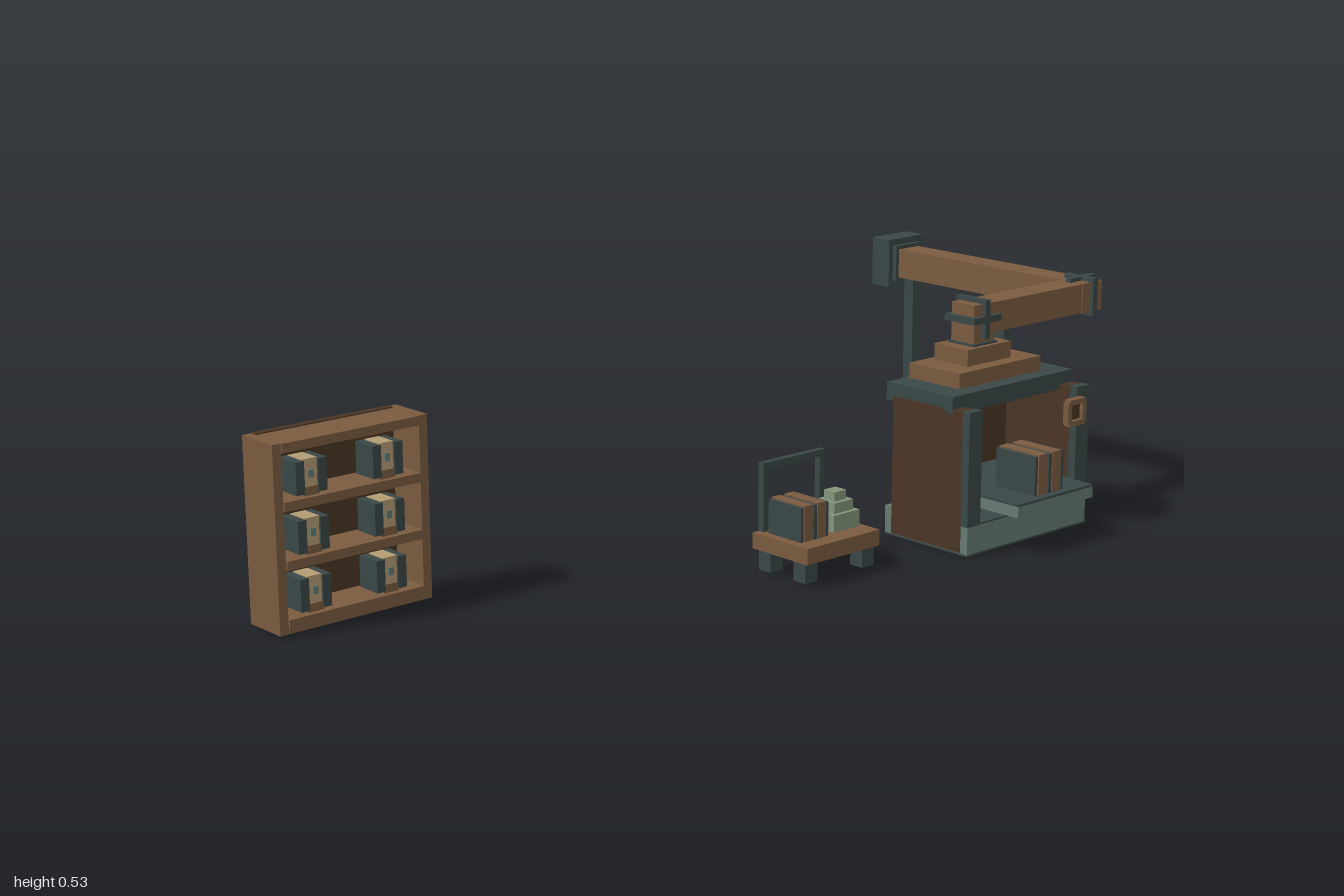
import * as THREE from 'three';

const mat = (name, color) => {
  const m = new THREE.MeshStandardMaterial({ color });
  m.name = name;
  return m;
};

export function createModel() {
  const wood = mat('wood', 0x7a5b40);
  const darkWood = mat('dark wood', 0x4a3524);
  const iron = mat('dark iron', 0x3a4847);
  const steel = mat('grey green steel', 0x667a74);
  const sage = mat('sage', 0x84957a);
  const tan = mat('tan', 0xb39c74);

  const root = new THREE.Group();
  const group = (name) => {
    const g = new THREE.Group();
    g.name = name;
    root.add(g);
    return g;
  };
  // Box given by its limits on each axis
  const box = (parent, name, m, [x0, x1], [y0, y1], [z0, z1]) => {
    const mesh = new THREE.Mesh(new THREE.BoxGeometry(x1 - x0, y1 - y0, z1 - z0), m);
    mesh.position.set((x0 + x1) / 2, (y0 + y1) / 2, (z0 + z1) / 2);
    mesh.name = name;
    parent.add(mesh);
    return mesh;
  };
  const around = (c, size) => [c - size / 2, c + size / 2];

  // Bound bundle of two slabs with a dark core and straps
  const bundle = (parent, cx, y, cz, w, h, d) => {
    const g = new THREE.Group();
    g.name = 'bundle';
    parent.add(g);
    box(g, 'bundleCore', darkWood, around(cx, w * 0.9), [y, y + h * 0.94], around(cz, d * 0.94));
    for (const s of [-1, 1]) {
      box(g, 'bundleSlab', wood, around(cx + s * w * 0.24, w * 0.3), [y, y + h], around(cz, d));
      box(g, 'bundleCover', iron, around(cx + s * w * 0.46, w * 0.08), [y, y + h * 0.97], around(cz, d * 0.97));
    }
    box(g, 'bundleStrap', iron, around(cx, w * 0.1), [y, y + h * 0.97], around(cz, d * 1.02));
  };

  // Bookcase
  const shelf = group('bookcase');
  for (const x of [-0.99, -0.645]) box(shelf, 'shelfSide', wood, around(x, 0.02), [0.005, 0.391], [-0.295, -0.19]);
  box(shelf, 'shelfBack', darkWood, [-0.979, -0.656], [0.008, 0.393], [-0.295, -0.278]);
  for (const y of [0.025, 0.144, 0.263, 0.381])
    box(shelf, 'shelfBoard', wood, [-0.979, -0.656], around(y, 0.019), [-0.297, -0.187]);
  box(shelf, 'shelfPlinth', wood, [-0.979, -0.656], [0.005, 0.02], [-0.294, -0.19]);
  // Clamped canisters, two on each board
  for (const y of [0.034, 0.153, 0.272])
    for (const x of [-0.908, -0.727]) {
      box(shelf, 'canister', tan, around(x, 0.034), [y, y + 0.074], around(-0.228, 0.05));
      for (const s of [-1, 1])
        box(shelf, 'canisterClamp', iron, around(x + s * 0.026, 0.02), [y + 0.005, y + 0.072], around(-0.228, 0.06));
      box(shelf, 'canisterBase', wood, around(x, 0.036), [y, y + 0.018], around(-0.228, 0.056));
      box(shelf, 'canisterCap', steel, around(x, 0.012), [y + 0.036, y + 0.052], around(-0.203, 0.008));
    }

  // Cart
  const cart = group('cart');
  box(cart, 'cartDeck', wood, [-0.021, 0.191], [0.05, 0.085], [0.11, 0.275]);
  for (const x of [0.003, 0.17])
    for (const z of [0.14, 0.245]) box(cart, 'cartLeg', iron, around(x, 0.035), [0.005, 0.05], around(z, 0.035));
  for (const x of [0.003, 0.168]) box(cart, 'handlePost', iron, around(x, 0.015), [0.085, 0.235], [0.11, 0.125]);
  box(cart, 'handleBar', iron, [0.01, 0.161], [0.22, 0.235], [0.11, 0.125]);
  bundle(cart, 0.04, 0.085, 0.185, 0.08, 0.077, 0.1);
  [[0.076, 0.085, 0.122], [0.056, 0.122, 0.145], [0.034, 0.145, 0.165]].forEach(([w, y0, y1]) =>
    box(cart, 'stackTier', sage, around(0.14, w), [y0, y1], around(0.192, w * 0.95)));

  // Furnace body
  const furnace = group('furnace');
  box(furnace, 'furnaceBase', steel, [0.384, 0.773], [0.004, 0.065], [0.105, 0.35]);
  box(furnace, 'furnaceUnderside', iron, [0.384, 0.773], [0, 0.004], [0.105, 0.35]);
  box(furnace, 'furnaceFloor', iron, [0.425, 0.732], [0.065, 0.069], [0.14, 0.349]);
  box(furnace, 'furnaceBack', darkWood, [0.425, 0.732], [0.065, 0.305], [0.125, 0.145]);
  for (const s of [-1, 1]) {
    const x = 0.5785 + s * 0.175;
    box(furnace, 'furnaceWall', darkWood, around(x, 0.041), [0.005, 0.317], [0.125, 0.33]);
    box(furnace, 'furnacePost', iron, around(x, 0.041), [0.065, 0.319], [0.33, 0.35]);
  }
  box(furnace, 'furnaceTop', iron, [0.383, 0.774], [0.305, 0.345], [0.105, 0.3]);
  // Loading tray and its load
  box(furnace, 'tray', steel, [0.455, 0.7], [0.09, 0.115], [0.145, 0.43]);
  box(furnace, 'trayTop', iron, [0.455, 0.7], [0.115, 0.12], [0.145, 0.43]);
  bundle(furnace, 0.577, 0.12, 0.353, 0.092, 0.09, 0.115);
  // Square gauge frame
  for (const s of [-1, 1]) {
    box(furnace, 'gaugeRail', wood, around(0.713, 0.05), around(0.269 + s * 0.024, 0.012), [0.353, 0.37]);
    box(furnace, 'gaugeStile', wood, around(0.713 + s * 0.024, 0.012), around(0.269, 0.05), [0.354, 0.369]);
  }
  box(furnace, 'gaugeFace', darkWood, around(0.713, 0.036), around(0.269, 0.036), [0.35, 0.36]);

  // Stepped chimney and duct
  const duct = group('duct');
  box(duct, 'chimneyLower', wood, [0.446, 0.71], [0.345, 0.379], [0.112, 0.261]);
  box(duct, 'chimneyUpper', wood, [0.508, 0.648], [0.379, 0.416], [0.128, 0.227]);
  box(duct, 'chimneyNeck', wood, [0.544, 0.61], [0.416, 0.507], [0.144, 0.211]);
  box(duct, 'crossDuct', wood, [0.545, 0.97], [0.439, 0.506], [0.144, 0.211]);
  box(duct, 'rearDuct', wood, [0.905, 0.972], [0.438, 0.507], [-0.37, 0.213]);
  // Joint flanges
  const z = 0.1775;
  box(duct, 'neckFlange', iron, around(0.577, 0.088), around(0.473, 0.015), around(z, 0.088));
  box(duct, 'neckCollar', iron, around(0.577, 0.076), [0.414, 0.421], around(z, 0.076));
  for (const x of [0.577, 0.94])
    box(duct, 'ductFlange', iron, around(x, 0.015), around(0.473, 0.087), around(z, 0.087));
  box(duct, 'elbowFlange', iron, around(0.94, 0.087), around(0.473, 0.086), around(z, 0.015));
  // Outlet and supports
  box(duct, 'outletCollar', iron, around(0.94, 0.088), [0.43, 0.516], [-0.376, -0.364]);
  box(duct, 'outletBox', iron, [0.882, 1], [0.415, 0.531], [-0.43, -0.375]);
  for (const pz of [-0.053, -0.348])
    box(duct, 'supportPost', iron, around(0.9385, 0.028), [0.005, 0.44], around(pz, 0.029));

  return root;
}
